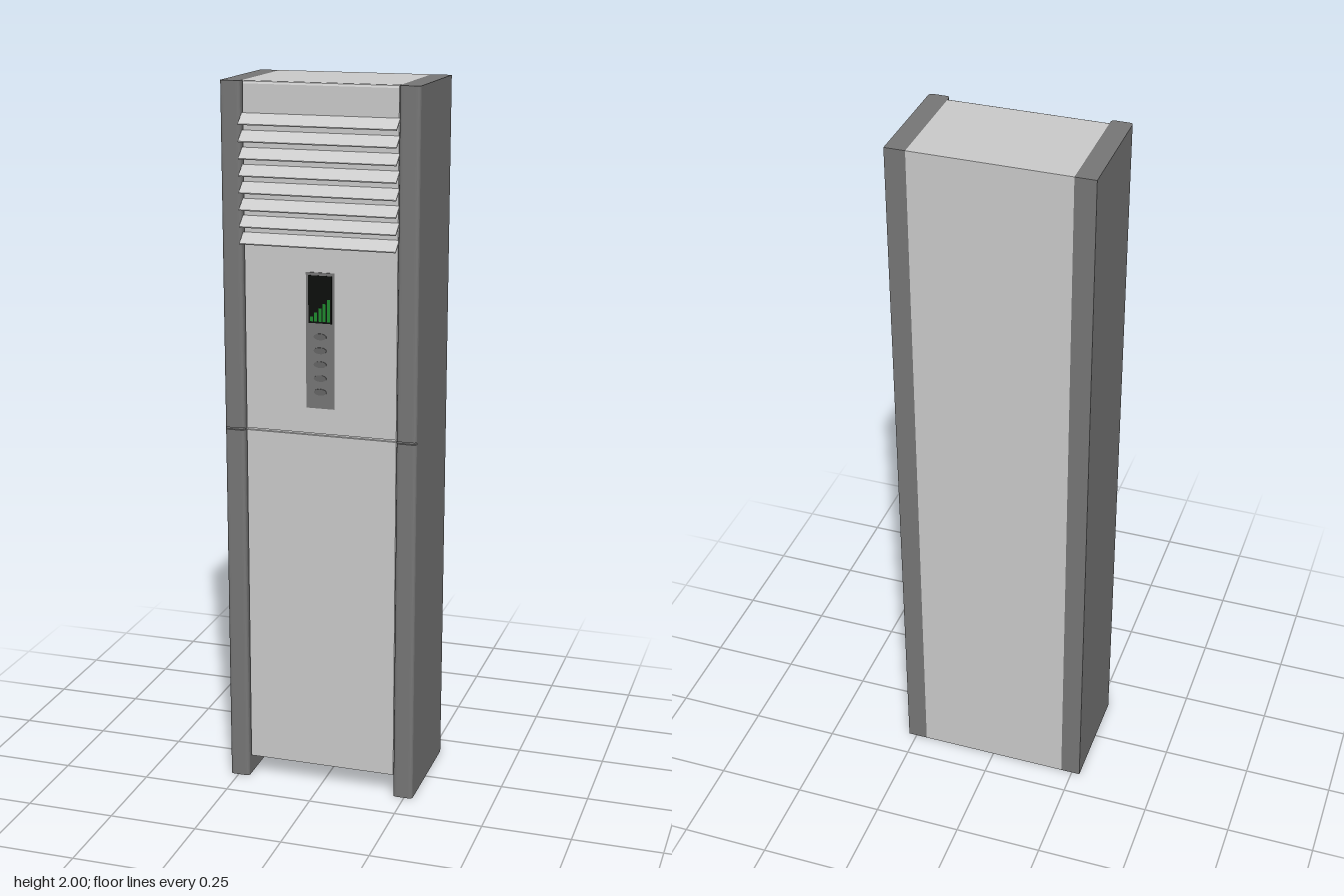
import * as THREE from 'three';

const BACK = -0.173, PANEL = 0.138, INNER = 0.217, OUTER = 0.274, FRONT = 0.151;
const SEAM = 1.05, GAP = 0.006, FLOOR = 0.06;

const mat = (color, extra = {}) => new THREE.MeshStandardMaterial({ color, ...extra });
const light = mat(0xcccccc);
const dark = mat(0x777777);
const black = mat(0x0c0f0c);
const green = mat(0x1f8a2e);
const buttonGrey = mat(0x666666);

function add(parent, name, geometry, material, x = 0, y = 0, z = 0) {
  const mesh = new THREE.Mesh(geometry, material);
  mesh.name = name;
  mesh.position.set(x, y, z);
  parent.add(mesh);
  return mesh;
}

// Box given by its limits on each axis
function block(parent, name, material, [x0, x1], [y0, y1], [z0, z1]) {
  return add(parent, name, new THREE.BoxGeometry(x1 - x0, y1 - y0, z1 - z0), material,
    (x0 + x1) / 2, (y0 + y1) / 2, (z0 + z1) / 2);
}

// Upright post with a square back and rounded front corners
function postGeometry(height) {
  const w = (OUTER - INNER) / 2, r = 0.011;
  const s = new THREE.Shape();
  s.moveTo(-w, -BACK);
  s.lineTo(-w, -(FRONT - r));
  s.quadraticCurveTo(-w, -FRONT, -w + r, -FRONT);
  s.lineTo(w - r, -FRONT);
  s.quadraticCurveTo(w, -FRONT, w, -(FRONT - r));
  s.lineTo(w, -BACK);
  s.closePath();
  const g = new THREE.ExtrudeGeometry(s, { depth: height, bevelEnabled: false, curveSegments: 6 });
  return g.rotateX(-Math.PI / 2);
}

// Panel whose side section (z, y) is drawn and swept across x
function sweepX(points, width) {
  const s = new THREE.Shape(points.map(([z, y]) => new THREE.Vector2(-z, y)));
  const g = new THREE.ExtrudeGeometry(s, { depth: width, bevelEnabled: false });
  return g.translate(0, 0, -width / 2).rotateY(Math.PI / 2);
}

export function createModel() {
  const model = new THREE.Group();
  model.name = 'airConditioner';

  // Side posts, split at the seam by a shallow groove
  for (const [side, name] of [[1, 'left'], [-1, 'right']]) {
    const post = new THREE.Group();
    post.name = name + 'SidePanel';
    post.position.x = side * (INNER + OUTER) / 2;
    const w = (OUTER - INNER) / 2;
    add(post, 'lowerSide', postGeometry(SEAM - GAP / 2), dark);
    add(post, 'upperSide', postGeometry(2 - SEAM - GAP / 2), dark, 0, SEAM + GAP / 2);
    block(post, 'sideSeam', dark, [-w, w], [SEAM - GAP / 2, SEAM + GAP / 2], [BACK, FRONT - 0.008]);
    model.add(post);
  }

  // Cabinet core raised off the ground, with the back sheet reaching down
  const body = new THREE.Group();
  body.name = 'cabinet';
  model.add(body);
  const span = [-INNER, INNER];
  block(body, 'core', light, span, [FLOOR, 2], [BACK, PANEL - 0.008]);
  block(body, 'backSkirt', light, span, [0, FLOOR], [BACK, BACK + 0.004]);

  // Front doors, the upper one with a softened top edge
  const doorWidth = 2 * INNER - 0.006, back = PANEL - 0.008;
  block(body, 'lowerDoor', light, [-doorWidth / 2, doorWidth / 2], [FLOOR, SEAM - GAP / 2], [back, PANEL]);
  const y0 = SEAM + GAP / 2;
  add(body, 'upperDoor', sweepX([[back, y0], [PANEL, y0], [PANEL, 1.992], [PANEL - 0.003, 1.998],
    [back, 2]], doorWidth), light);

  // Slanted air outlet slats, outer edge low
  const louvers = new THREE.Group();
  louvers.name = 'louvers';
  model.add(louvers);
  const slat = sweepX([[0.135, 0.026], [0.135, 0.022], [0.171, -0.002], [0.172, 0.001], [0.138, 0.0265]],
    2 * INNER);
  for (let i = 0; i < 8; i++) add(louvers, 'slat', slat, light, 0, 1.572 + i * 0.0453);

  // Control panel
  const control = new THREE.Group();
  control.name = 'controlPanel';
  model.add(control);
  block(control, 'controlPlate', dark, [-0.04, 0.04], [1.125, 1.5], [PANEL - 0.002, PANEL + 0.003]);
  block(control, 'screen', black, [-0.033, 0.033], [1.362, 1.492], [PANEL, PANEL + 0.004]);
  for (let i = 0; i < 5; i++) {
    const x = -0.028 + i * 0.012;
    block(control, 'levelBar', green, [x, x + 0.008], [1.367, 1.38 + i * 0.012], [PANEL, PANEL + 0.005]);
  }
  const button = new THREE.CylinderGeometry(0.018, 0.018, 0.004, 24).rotateX(Math.PI / 2).scale(1, 0.5, 1);
  for (let i = 0; i < 5; i++) {
    add(control, 'button', button, buttonGrey, 0, 1.325 - i * 0.0385, PANEL + 0.003);
  }
  return model;
}
